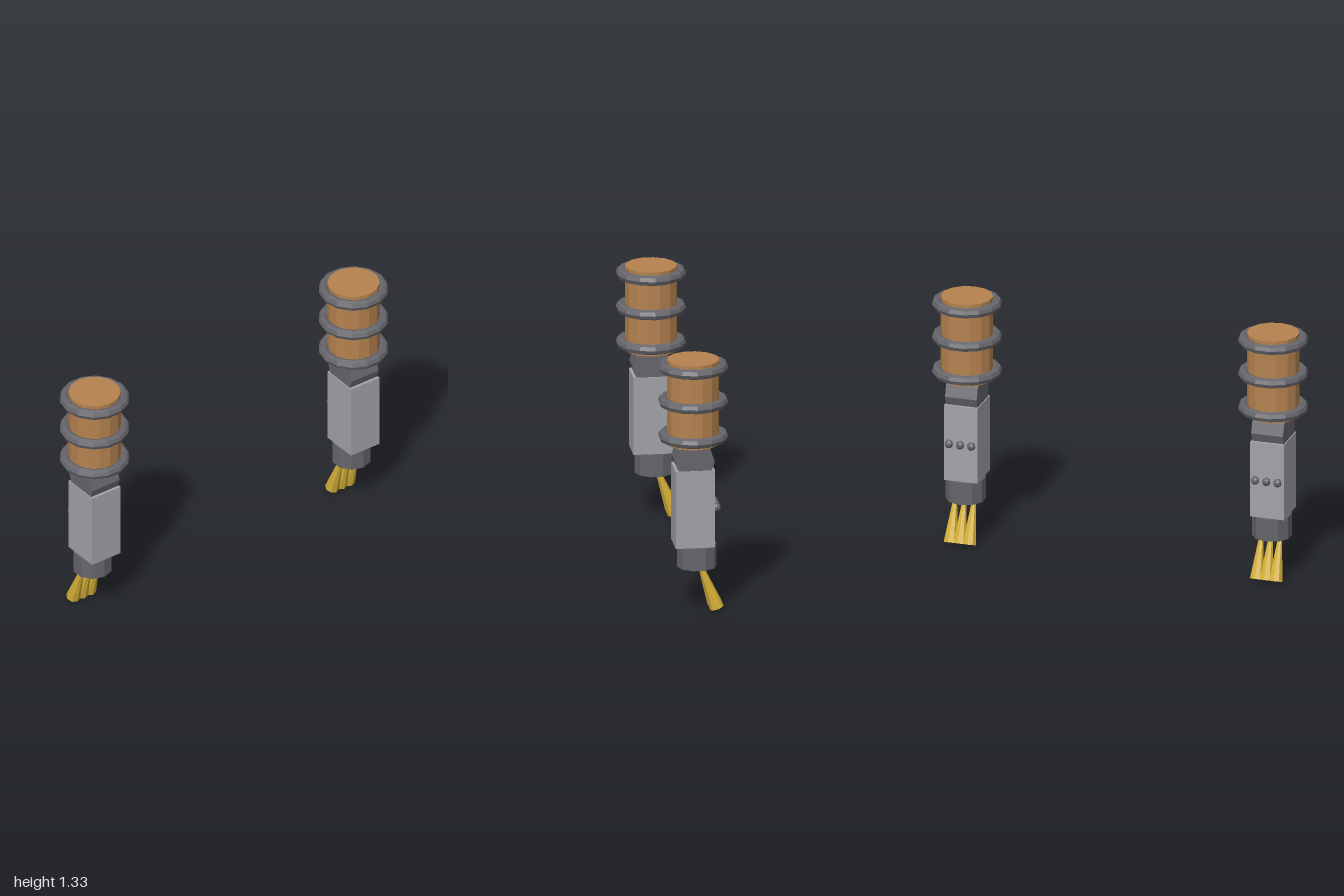
import * as THREE from 'three';

const mat = (color) => new THREE.MeshStandardMaterial({ color, flatShading: true });

export function createModel() {
  const copper = mat(0xb5824f), dark = mat(0x66656b), steel = mat(0xa2a2a9), gold = mat(0xd4af37);

  const add = (parent, name, geometry, material, x, y, z) => {
    const mesh = new THREE.Mesh(geometry, material);
    mesh.name = name;
    mesh.position.set(x, y, z);
    parent.add(mesh);
    return mesh;
  };

  const buildArm = (name, x) => {
    const arm = new THREE.Group();
    arm.name = name;
    arm.position.x = x;

    // Upper drum with three raised rings
    add(arm, 'upperDrum', new THREE.CylinderGeometry(0.134, 0.134, 0.447, 14), copper, 0, 1.103, 0);
    for (const y of [0.92, 1.105, 1.288]) {
      add(arm, 'drumRing', new THREE.TorusGeometry(0.153, 0.027, 8, 14), dark, 0, y, 0).rotation.x = Math.PI / 2;
    }

    // Hinge barrel lying along x
    add(arm, 'elbow', new THREE.CylinderGeometry(0.1, 0.1, 0.17, 10), dark, 0, 0.8, 0).rotation.z = Math.PI / 2;

    // Forearm block with a row of studs on the back
    add(arm, 'forearm', new THREE.BoxGeometry(0.18, 0.41, 0.202), steel, 0, 0.55, 0);
    for (const sx of [-0.06, 0, 0.06]) {
      add(arm, 'stud', new THREE.SphereGeometry(0.022, 8, 8), dark, sx, 0.55, -0.113);
    }

    // Wrist
    add(arm, 'wrist', new THREE.CylinderGeometry(0.102, 0.102, 0.12, 10), dark, 0, 0.285, -0.018);

    // Three flared prongs swept backwards
    const tilt = 0.35, length = 0.315;
    for (const px of [-0.05, 0, 0.05]) {
      add(arm, 'prong', new THREE.ConeGeometry(0.037, length, 8), gold, px,
        0.013 + Math.cos(tilt) * length / 2, -0.115 + Math.sin(tilt) * length / 2).rotation.x = tilt;
    }
    return arm;
  };

  const model = new THREE.Group();
  model.name = 'armPair';
  model.add(buildArm('leftArm', 0.82), buildArm('rightArm', -0.82));
  return model;
}
